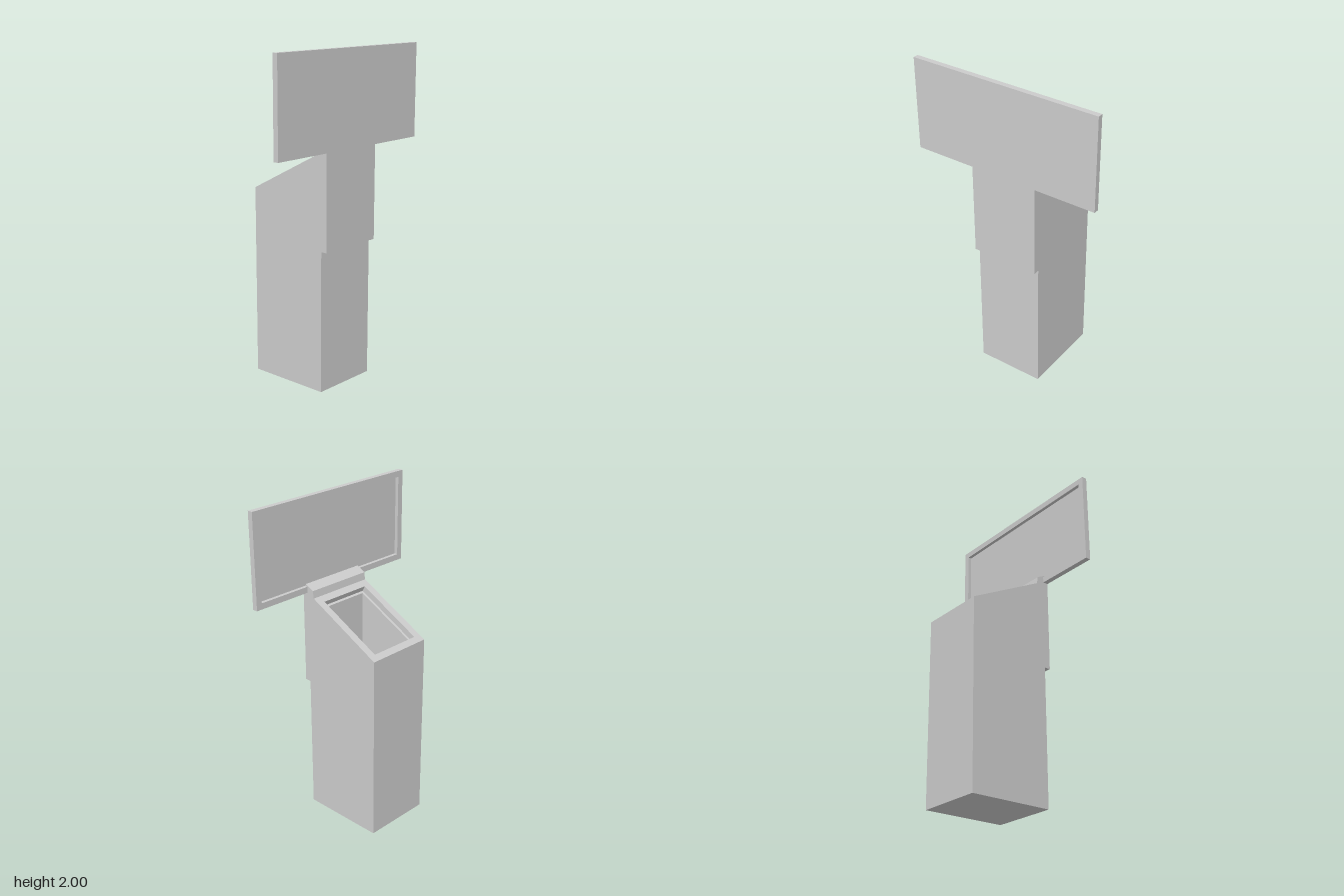
import * as THREE from 'three';

const material = new THREE.MeshStandardMaterial({ color: 0xcccccc, flatShading: true });

// Stitch four-cornered rings into a closed solid with sharp edges
function loft(rings) {
  const pos = [];
  const quad = (a, b, c, d) => [a, b, c, a, c, d].forEach((p) => pos.push(...p));
  const last = rings[rings.length - 1];
  quad(...[...rings[0]].reverse());
  for (let r = 0; r < rings.length - 1; r++) {
    for (let i = 0; i < 4; i++) {
      const j = (i + 1) % 4;
      quad(rings[r][i], rings[r][j], rings[r + 1][j], rings[r + 1][i]);
    }
  }
  quad(...last);
  const geometry = new THREE.BufferGeometry();
  geometry.setAttribute('position', new THREE.Float32BufferAttribute(pos, 3));
  geometry.computeVertexNormals();
  return geometry;
}

// Extrude a side profile of [z, y] points across the width, centred on x = 0
function extrudeAcross(points, width) {
  const shape = new THREE.Shape(points.map(([z, y]) => new THREE.Vector2(-z, y)));
  const geometry = new THREE.ExtrudeGeometry(shape, { depth: width, bevelEnabled: false });
  return geometry.translate(0, 0, -width / 2).rotateY(Math.PI / 2);
}

export function createModel() {
  const group = new THREE.Group();
  const add = (name, geometry) => {
    const mesh = new THREE.Mesh(geometry, material);
    mesh.name = name;
    group.add(mesh);
  };

  const half = 0.214, front = 0.245, back = -0.283;
  const slope = (z) => 1.16 + 0.515 * (z - back);
  const ledge = (z) => slope(z) - 0.042;

  // Hollow bin with a sloping rim, a stepped lid recess and a deep cavity
  const level = (h, zf, zb, height) =>
    [[-h, zf], [h, zf], [h, zb], [-h, zb]].map(([x, z]) => [x, height(z), z]);
  add('binBody', loft([
    level(half, front, back, () => 0),
    level(half, front, back, slope),
    level(0.168, 0.157, -0.245, slope),
    level(0.168, 0.174, -0.228, ledge),
    level(0.153, 0.161, -0.215, ledge),
    level(0.153, 0.161, -0.215, () => 0.06),
  ]));

  // Front apron that rises into the neck behind the sign
  add('frontApron', extrudeAcross([
    [front, 0.857], [0.283, 0.857], [0.283, 1.43], [0.262, 1.43],
    [0.262, 1.481], [0.205, 1.452], [0.198, 1.408], [front, 1.39],
  ], half * 2));

  // Sign board with a raised border around a recessed back
  const rect = (inset, z) => {
    const w = 0.597 - inset, top = 2 - inset, bottom = 1.43 + inset;
    return [[-w, top, z], [w, top, z], [w, bottom, z], [-w, bottom, z]];
  };
  add('signBoard', loft([rect(0, 0.283), rect(0, 0.25), rect(0.037, 0.25), rect(0.037, 0.272)]));

  return group;
}
